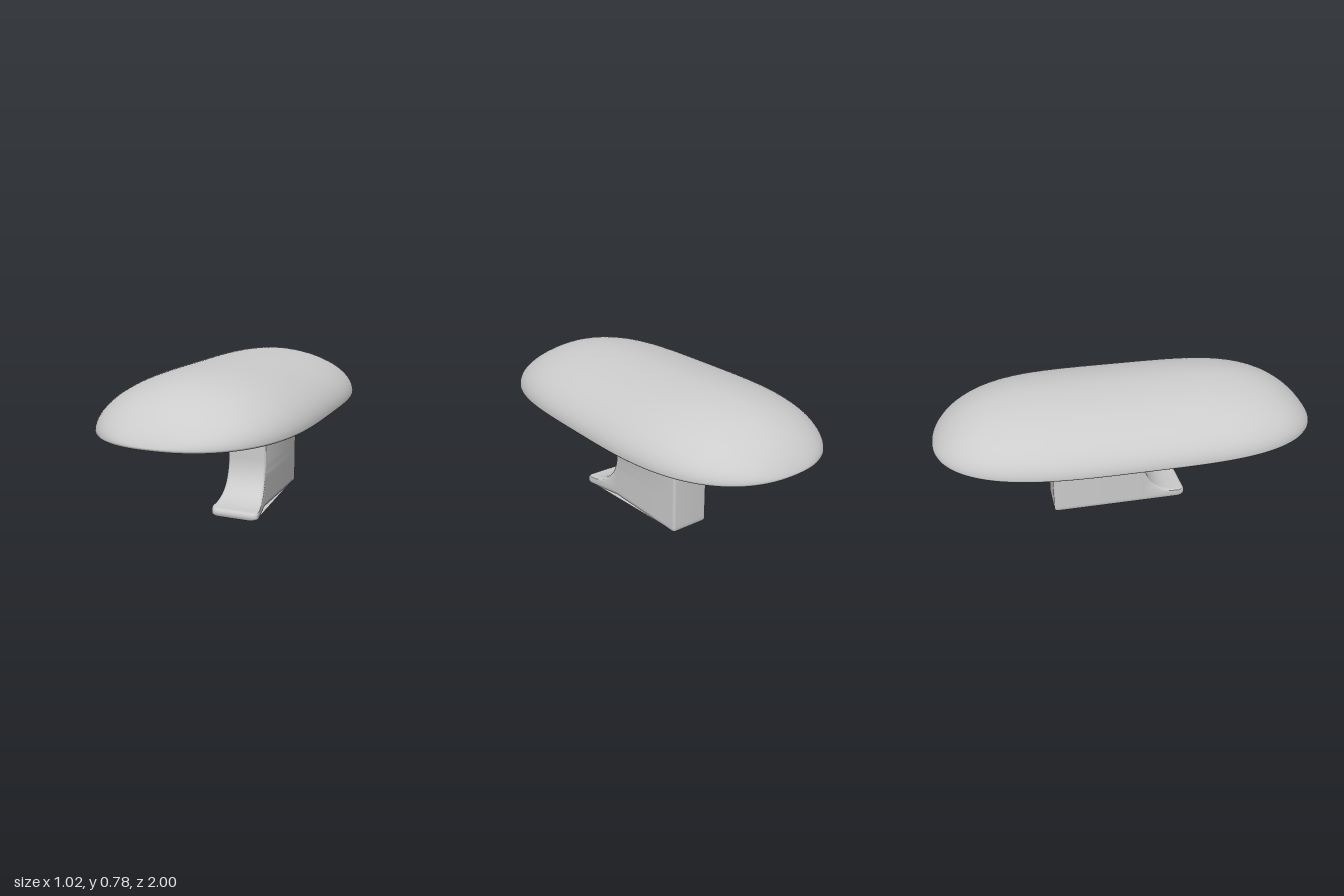
import * as THREE from 'three';
import { toCreasedNormals } from 'three/addons/utils/BufferGeometryUtils.js';

const RIM_Y = 0.522, LIP = 0.012;

// Plan half-width and ridge height along the shell, for z from -1 to 1
const width = (z) => Math.pow(Math.max(0, 1 - Math.abs(z) ** 3.5), 0.44);
const ridge = (z) => Math.pow(Math.max(0, 1 - Math.abs(z) ** 4.5), 0.78);
// Stations bunch up toward the rounded ends
const station = (t) => Math.sign(t) * (1 - Math.pow(1 - Math.abs(t), 2.4));

function indexed(pos, idx) {
  const g = new THREE.BufferGeometry();
  g.setAttribute('position', new THREE.Float32BufferAttribute(pos, 3));
  g.setIndex(idx);
  g.computeVertexNormals();
  return g;
}

// Half shell lofted from arched cross-sections
function domeGeometry(halfWidth, height, halfLength, inward) {
  const nz = 96, na = 64, row = na + 1, pos = [], idx = [];
  for (let i = 0; i <= nz; i++) {
    const z = station((i / nz) * 2 - 1);
    for (let j = 0; j <= na; j++) {
      const a = (j / na) * Math.PI, c = Math.cos(a), s = Math.max(0, Math.sin(a));
      pos.push(
        halfWidth * width(z) * Math.sign(c) * Math.abs(c) ** 1.08,
        RIM_Y + height * ridge(z) * s ** 1.08,
        halfLength * z
      );
    }
  }
  for (let i = 0; i < nz; i++) {
    for (let j = 0; j < na; j++) {
      const a = i * row + j, b = a + 1, c = a + row, d = c + 1;
      if (inward) idx.push(a, c, b, b, c, d);
      else idx.push(a, b, c, b, d, c);
    }
  }
  return indexed(pos, idx);
}

// Rounded lip following the plan outline
function lipGeometry() {
  const pts = [], n = 40;
  for (const side of [1, -1]) {
    for (let i = 0; i < n; i++) {
      const z = station((i / n) * 2 - 1) * side;
      pts.push(new THREE.Vector3(side * (0.51 - LIP) * width(z), RIM_Y, (1 - LIP) * z));
    }
  }
  return new THREE.TubeGeometry(new THREE.CatmullRomCurve3(pts, true), 240, LIP, 12, true);
}

// Plan outline of the leg: a rounded rectangle whose left side splays out at the toe
function legRing(front, y, inset) {
  const x0 = -0.025 + inset, x1 = 0.189 - inset, z0 = -0.4 + inset;
  const rBack = 0.015;
  const rFront = THREE.MathUtils.clamp(0.015 + (front - 0.11) * 0.11, 0.015, 0.04);
  const ring = [], steps = 6;
  const corner = (cx, cz, r, start) => {
    for (let i = 0; i <= steps; i++) {
      const a = start + (i / steps) * Math.PI / 2;
      ring.push([cx + r * Math.cos(a), cz + r * Math.sin(a)]);
    }
  };
  const bend = Math.min(0.11, front - rFront - 0.002);
  corner(x1 - rFront, front - rFront, rFront, 0);
  corner(x0 + rFront, front - rFront, rFront, Math.PI / 2);
  ring.push([x0, bend]);
  corner(x0 + rBack, z0 + rBack, rBack, Math.PI);
  corner(x1 - rBack, z0 + rBack, rBack, Math.PI * 1.5);
  ring.push([x1, bend]);
  return ring.flatMap(([x, z]) => {
    const splay = x > 0.1 ? 0.21 * Math.max(0, z - 0.11) : 0;
    return [x + splay, y, z];
  });
}

// Post with a forward toe, lofted upward from stacked plan outlines
function legGeometry() {
  const levels = [[0.34, 0, 0.012], [0.348, 0.004, 0.004], [0.354, 0.012, 0], [0.355, 0.026, 0],
    [0.352, 0.036, 0], [0.345, 0.043, 0]];
  const sweep = new THREE.CubicBezierCurve(
    new THREE.Vector2(0.335, 0.045), new THREE.Vector2(0.23, 0.047),
    new THREE.Vector2(0.115, 0.09), new THREE.Vector2(0.11, 0.26));
  for (const p of sweep.getPoints(24)) levels.push([p.x, p.y, 0]);
  levels.push([0.11, 0.72, 0]);

  const pos = levels.flatMap(([front, y, inset]) => legRing(front, y, inset));
  const n = pos.length / 3 / levels.length, last = (levels.length - 1) * n, idx = [];
  for (let k = 0; k < last; k += n) {
    for (let j = 0; j < n; j++) {
      const a = k + j, b = k + (j + 1) % n;
      idx.push(a, a + n, b, b, a + n, b + n);
    }
  }
  // Bottom and top caps
  for (let j = 1; j < n - 1; j++) {
    idx.push(0, j, j + 1);
    idx.push(last, last + j + 1, last + j);
  }
  return toCreasedNormals(indexed(pos, idx), 0.7);
}

export function createModel() {
  const group = new THREE.Group();
  const grey = new THREE.MeshStandardMaterial({ color: 0xcccccc });
  grey.name = 'light grey';

  const add = (name, geometry) => {
    const mesh = new THREE.Mesh(geometry, grey);
    mesh.name = name;
    group.add(mesh);
  };

  add('shellOuter', domeGeometry(0.51, 0.78 - RIM_Y, 1, false));
  add('shellInner', domeGeometry(0.51 - 2 * LIP, 0.757 - RIM_Y, 1 - 2 * LIP, true));
  add('shellLip', lipGeometry());
  add('leg', legGeometry());
  return group;
}
